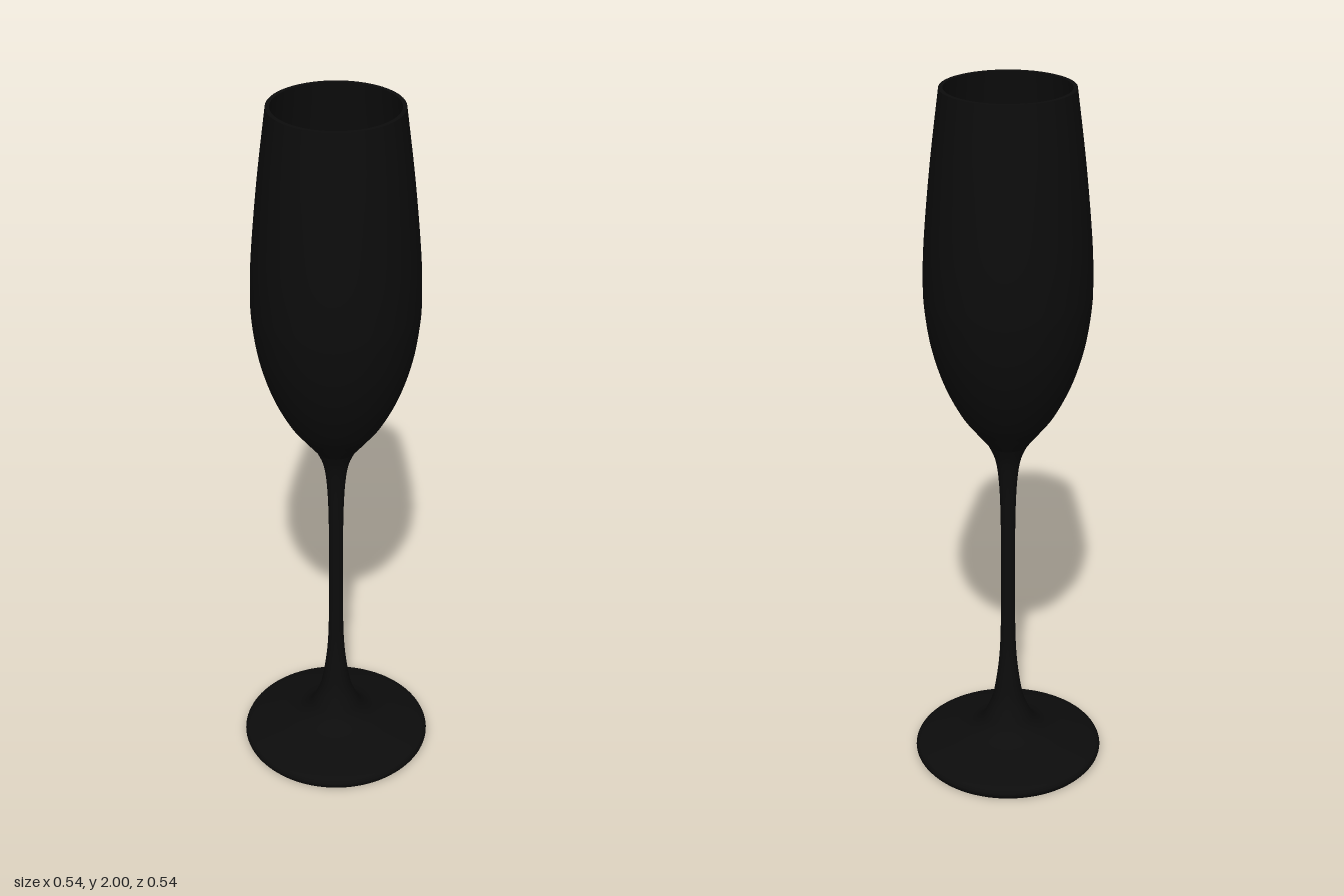
import * as THREE from 'three';

const SEGMENTS = 96;

// Smooth list of profile points through a few [radius, height] pairs
function smooth(pairs, count) {
  const curve = new THREE.SplineCurve(pairs.map(([r, y]) => new THREE.Vector2(r, y)));
  return curve.getPoints(count).map((p) => new THREE.Vector2(Math.max(p.x, 0), p.y));
}

export function createModel() {
  const group = new THREE.Group();
  const black = new THREE.MeshStandardMaterial({ color: 0x0c0c0c });
  black.name = 'black';

  // Each part is turned around the y axis
  const turn = (name, points) => {
    const mesh = new THREE.Mesh(new THREE.LatheGeometry(points, SEGMENTS), black);
    mesh.name = name;
    group.add(mesh);
  };

  // Flat underside
  turn('footBase', [new THREE.Vector2(0, 0), new THREE.Vector2(0.262, 0)]);

  // Foot with rounded edge, sloping up to the stem
  turn('foot', smooth([
    [0.262, 0], [0.271, 0.012], [0.271, 0.024], [0.258, 0.036], [0.2, 0.052],
    [0.14, 0.066], [0.105, 0.08], [0.078, 0.105], [0.06, 0.14],
  ], 40));

  // Slender stem flaring at both ends
  turn('stem', smooth([
    [0.06, 0.14], [0.045, 0.18], [0.034, 0.24], [0.025, 0.32], [0.021, 0.42],
    [0.02, 0.6], [0.021, 0.78], [0.026, 0.89], [0.036, 0.955], [0.055, 1.0],
  ], 50));

  // Outside of the bowl
  turn('bowl', smooth([
    [0.055, 1.0], [0.09, 1.044], [0.131, 1.1], [0.175, 1.19], [0.207, 1.295],
    [0.223, 1.4], [0.226, 1.48], [0.221, 1.6], [0.202, 1.8], [0.177, 2.0],
  ], 60));

  // Rim joining the outer and inner walls
  turn('rim', [new THREE.Vector2(0.177, 2.0), new THREE.Vector2(0.166, 2.0)]);

  // Inside of the bowl, from the rim down to the floor
  turn('bowlInterior', smooth([
    [0.166, 2.0], [0.191, 1.8], [0.21, 1.6], [0.215, 1.48], [0.212, 1.4],
    [0.196, 1.3], [0.163, 1.195], [0.118, 1.11], [0.07, 1.055], [0.03, 1.03], [0, 1.025],
  ], 60));

  return group;
}
